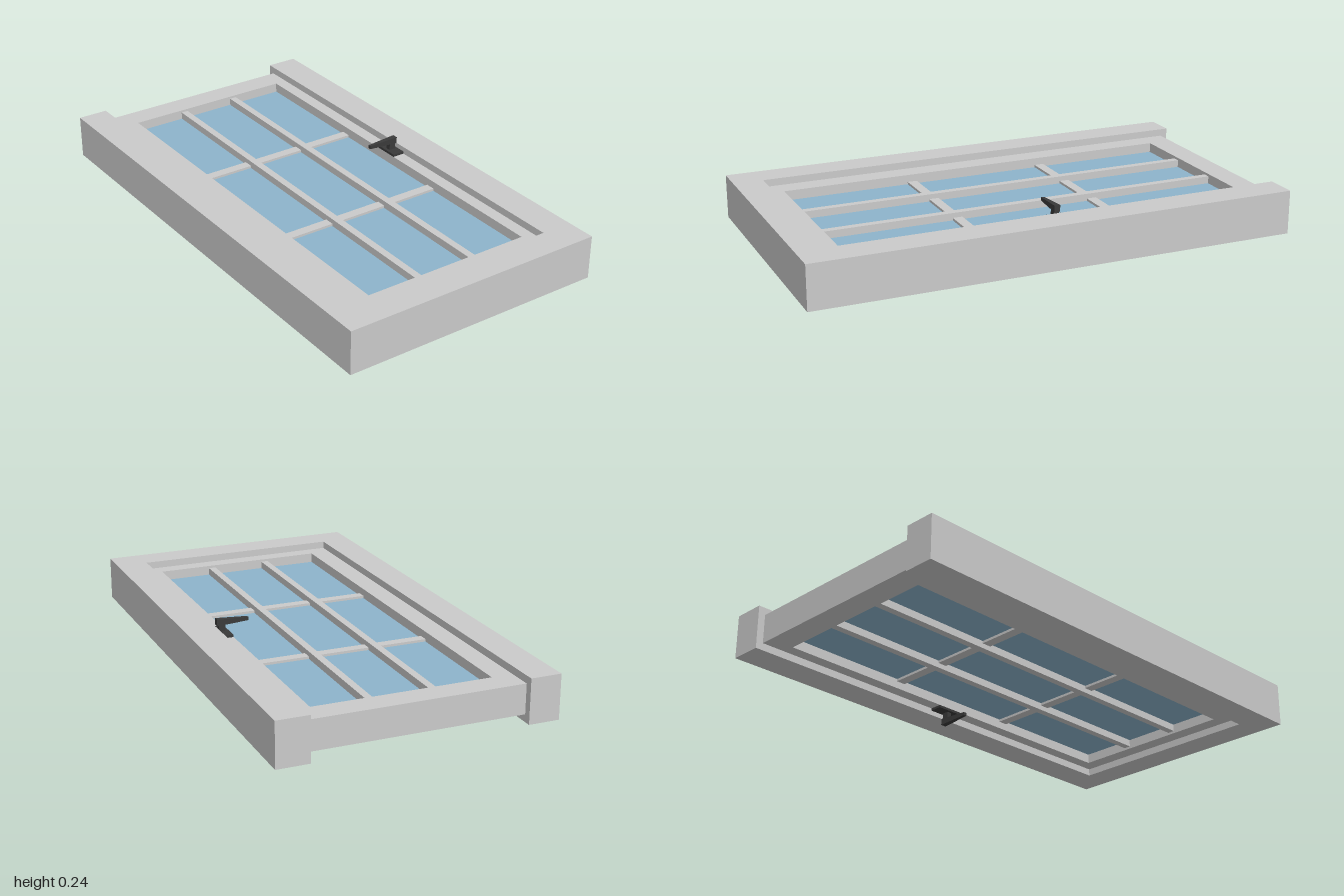
import * as THREE from 'three';

const paint = new THREE.MeshStandardMaterial({ color: 0xcacaca });
paint.name = 'greyPaint';
const glass = new THREE.MeshStandardMaterial({ color: 0x8db4cb });
glass.name = 'blueGlass';
const metal = new THREE.MeshStandardMaterial({ color: 0x3a3a3a });
metal.name = 'darkMetal';

const MID = 0.12; // middle height of the lying door

// Box given by its limits along each axis
function box(name, material, [x0, x1], [y0, y1], [z0, z1]) {
  const mesh = new THREE.Mesh(new THREE.BoxGeometry(x1 - x0, y1 - y0, z1 - z0), material);
  mesh.position.set((x0 + x1) / 2, (y0 + y1) / 2, (z0 + z1) / 2);
  mesh.name = name;
  return mesh;
}

// Flat outline in x and z, thickened evenly about the middle height
function slab(name, outline, thickness, hole) {
  const toPoints = (list) => list.map(([x, z]) => new THREE.Vector2(x, z));
  const shape = new THREE.Shape(toPoints(outline));
  if (hole) shape.holes.push(new THREE.Path(toPoints(hole)));
  const geometry = new THREE.ExtrudeGeometry(shape, { depth: thickness, bevelEnabled: false });
  geometry.rotateX(Math.PI / 2).translate(0, MID + thickness / 2, 0);
  const mesh = new THREE.Mesh(geometry, paint);
  mesh.name = name;
  return mesh;
}

const rect = (x0, x1, z0, z1) => [[x0, z0], [x1, z0], [x1, z1], [x0, z1]];

// Handle on the upper face: back plate, stem and tapering lever
function createHandle() {
  const handle = new THREE.Group();
  handle.add(box('handlePlate', metal, [0.372, 0.424], [0.178, 0.19], [-0.102, 0.018]));
  handle.add(box('handleStem', metal, [0.385, 0.412], [0.188, 0.22], [-0.047, -0.026]));
  const geometry = new THREE.BoxGeometry(0.132, 0.027, 0.024);
  const p = geometry.attributes.position;
  for (let i = 0; i < p.count; i++) {
    if (p.getX(i) < 0) {
      p.setY(i, p.getY(i) * 0.5);
      p.setZ(i, p.getZ(i) * 0.55);
    }
  }
  geometry.computeVertexNormals();
  const lever = new THREE.Mesh(geometry, metal);
  lever.position.set(0.354, 0.2265, -0.037);
  lever.name = 'handleLever';
  handle.add(lever);
  return handle;
}

export function createModel() {
  const model = new THREE.Group();
  model.name = 'glazedDoor';

  // Three-sided surround, open at the back end
  model.add(slab('doorFrame', [
    [-0.555, -1], [-0.43, -1], [-0.43, 0.877], [0.424, 0.877],
    [0.424, -1], [0.555, -1], [0.555, 1], [-0.555, 1],
  ], 0.18));

  // Door leaf with the glazed opening
  model.add(slab('doorLeaf', rect(-0.43, 0.424, -0.97, 0.877), 0.12,
    rect(-0.344, 0.372, -0.868, 0.815)));
  model.add(box('glassPane', glass, [-0.344, 0.372], [MID - 0.02, MID + 0.02], [-0.868, 0.815]));

  // Long and cross glazing bars
  for (const x of [-0.112, 0.139]) {
    model.add(box('longBar', paint, [x - 0.015, x + 0.015], [MID - 0.05, MID + 0.05], [-0.868, 0.815]));
  }
  for (const z of [-0.32, 0.265]) {
    model.add(box('crossBar', paint, [-0.344, 0.372], [MID - 0.03, MID + 0.03], [z - 0.02, z + 0.02]));
  }

  // One handle on each face
  const upper = createHandle();
  upper.name = 'upperHandle';
  const lower = createHandle();
  lower.name = 'lowerHandle';
  lower.scale.y = -1;
  lower.position.y = 2 * MID;
  model.add(upper, lower);

  return model;
}
